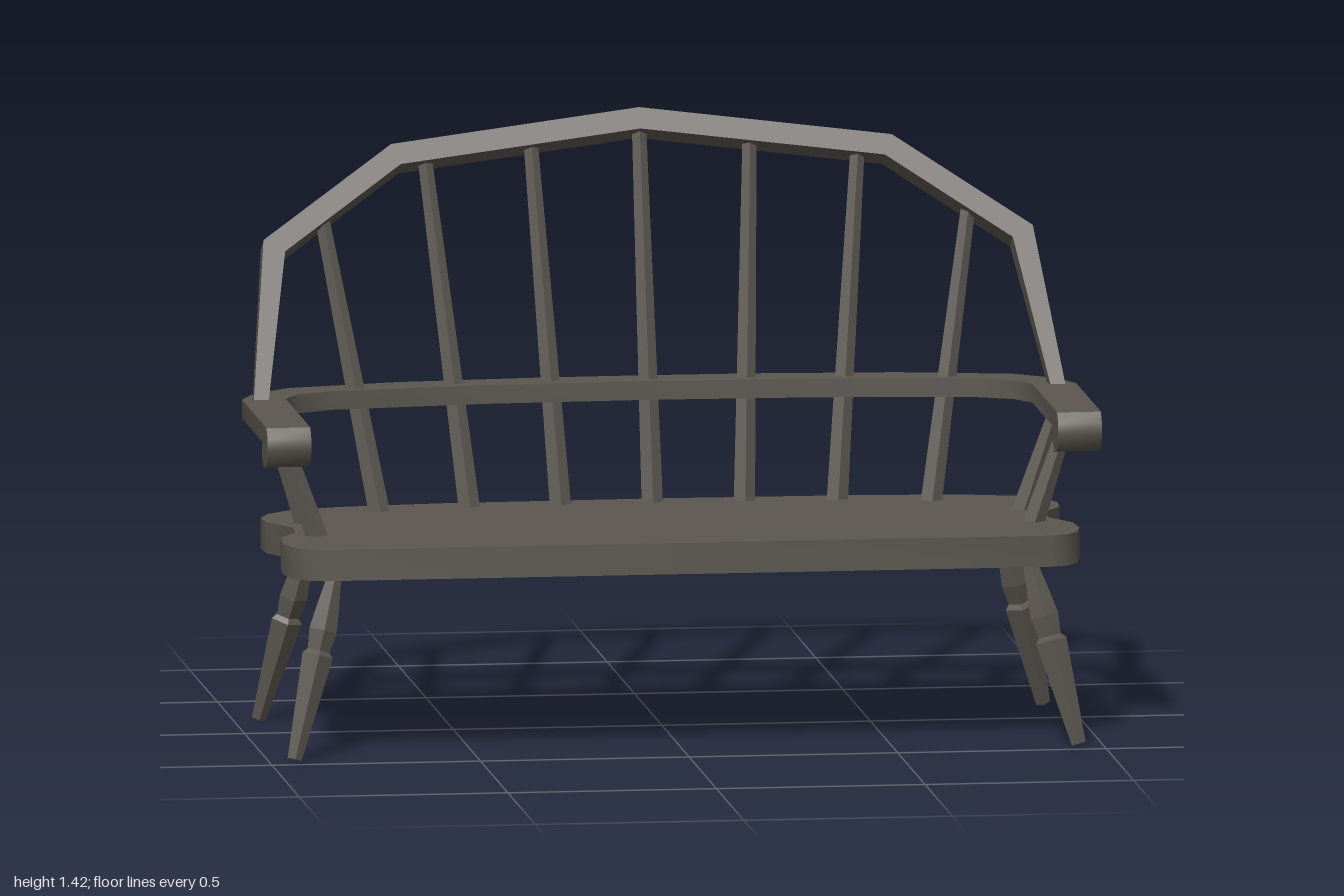
import * as THREE from 'three';
import { toCreasedNormals } from 'three/addons/utils/BufferGeometryUtils.js';

const wood = new THREE.MeshStandardMaterial({ color: 0x5b564f });
wood.name = 'dark wood';
const turnedWood = wood.clone(); // same colour, faceted
turnedWood.name = 'dark wood faceted';
turnedWood.flatShading = true;

function add(parent, name, geometry, material = wood) {
  const mesh = new THREE.Mesh(geometry, material);
  mesh.name = name;
  parent.add(mesh);
  return mesh;
}

// Mirror an open half outline (from the centre line outwards) across x = 0
const mirrored = pts => pts.filter(p => p[0] > 0).reverse().map(([x, y]) => [-x, y]);
const shapeOf = pts => new THREE.Shape(pts.map(([x, y]) => new THREE.Vector2(x, y)));

// Flat board from an [x, z] outline, lying between y0 and y1
function board(outline, y0, y1) {
  const g = new THREE.ExtrudeGeometry(shapeOf(outline.map(([x, z]) => [x, -z])),
    { depth: y1 - y0, bevelEnabled: false });
  g.rotateX(-Math.PI / 2).translate(0, y0, 0);
  return toCreasedNormals(g, 0.75);
}

// Five-sided turned piece between two points; profile rows are [radius, fraction of length]
function turned(parent, name, from, to, profile) {
  const a = new THREE.Vector3(...from), dir = new THREE.Vector3(...to).sub(a);
  const len = dir.length();
  const pts = [[0, profile[0][1]], ...profile, [0, profile.at(-1)[1]]];
  const g = new THREE.LatheGeometry(pts.map(([r, t]) => new THREE.Vector2(r, t * len)), 5);
  const mesh = add(parent, name, g, turnedWood);
  mesh.position.copy(a);
  mesh.quaternion.setFromUnitVectors(new THREE.Vector3(0, 1, 0), dir.normalize());
}

export function createModel() {
  const bench = new THREE.Group();
  bench.name = 'bench';

  // Seat: straight front, waisted ends, gently bowed back
  const seatHalf = [[0, 0.47], [0.87, 0.47], [0.91, 0.455], [0.94, 0.42], [0.955, 0.35], [0.95, 0.27],
    [0.905, 0.19], [0.9, 0.11], [0.95, 0.02], [0.955, -0.05], [0.93, -0.11], [0.87, -0.16],
    [0.75, -0.195], [0.5, -0.22], [0, -0.23]];
  add(bench, 'seat', board([...seatHalf, ...mirrored(seatHalf)], 0.43, 0.505));

  // Arm rail: one U-shaped board
  const outer = [[0, -0.305], [0.25, -0.302], [0.6, -0.275], [0.87, -0.215], [0.96, -0.14], [1, -0.05], [1, 0.4]];
  const inner = [[0, -0.213], [0.4, -0.2], [0.77, -0.155], [0.86, -0.11], [0.895, -0.05], [0.895, 0.4]];
  add(bench, 'armRail', board(
    [...outer, ...[...inner].reverse(), ...mirrored(inner).reverse(), ...mirrored(outer)], 0.745, 0.79));

  // Back hoop: flat tapered arch, leaning backwards
  const hoopOuter = [[0, 0.732], [0.6, 0.65], [0.922, 0.41], [0.975, -0.02]];
  const hoopInner = [[0, 0.677], [0.58, 0.598], [0.872, 0.38], [0.94, -0.02]];
  const hoopGeo = new THREE.ExtrudeGeometry(shapeOf(
    [...hoopOuter, ...[...hoopInner].reverse(), ...mirrored(hoopInner).reverse(), ...mirrored(hoopOuter)]),
  { depth: 0.06, bevelEnabled: false });
  hoopGeo.translate(0, 0, -0.06);
  const pos = hoopGeo.attributes.position;
  for (let i = 0; i < pos.count; i++) if (pos.getY(i) < 0.1) pos.setZ(i, pos.getZ(i) * 0.55);
  const hoop = add(bench, 'backHoop', hoopGeo, turnedWood);
  hoop.position.set(0, 0.79, -0.04);
  hoop.rotation.x = -0.54;

  // Back spindles, fanning out from the seat to the hoop
  const spindle = [[0.027, 0], [0.018, 1]];
  const rows = [[0, -0.18, 0, 1.37], [0.22, -0.178, 0.262, 1.335], [0.44, -0.162, 0.518, 1.305], [0.66, -0.125, 0.775, 1.185]];
  for (const [x0, z0, x1, y1] of rows) {
    for (const s of x0 ? [1, -1] : [1]) {
      turned(bench, 'backSpindle', [s * x0, 0.49, z0], [s * x1, y1, -0.075 - 0.6 * (y1 - 0.79)], spindle);
    }
  }

  // Scroll profile in [-z, y], extruded across the arm
  const scrollShape = shapeOf([[-0.4, 0.79], [-0.42, 0.765], [-0.422, 0.74], [-0.41, 0.71], [-0.39, 0.695],
    [-0.345, 0.687], [-0.318, 0.71], [-0.315, 0.79]]);
  const legProfile = [[0.018, 0], [0.039, 0.55], [0.028, 0.575], [0.035, 0.68], [0.031, 0.76], [0.016, 1]];

  for (const s of [1, -1]) {
    const scroll = new THREE.ExtrudeGeometry(scrollShape, { depth: 0.105, bevelEnabled: false });
    scroll.rotateY(Math.PI / 2).translate(s > 0 ? 0.895 : -1, 0, 0);
    add(bench, 'armScroll', toCreasedNormals(scroll, 0.75));

    for (const z of [0.235, 0.04]) {
      turned(bench, 'armSpindle', [s * 0.855, 0.49, z], [s * 0.945, 0.76, z], [[0.028, 0], [0.017, 1]]);
    }
    // Splayed legs
    for (const [footZ, topZ] of [[0.45, 0.365], [-0.205, -0.12]]) {
      turned(bench, 'leg', [s * 0.94, 0, footZ], [s * 0.83, 0.44, topZ], legProfile);
    }
  }
  return bench;
}
